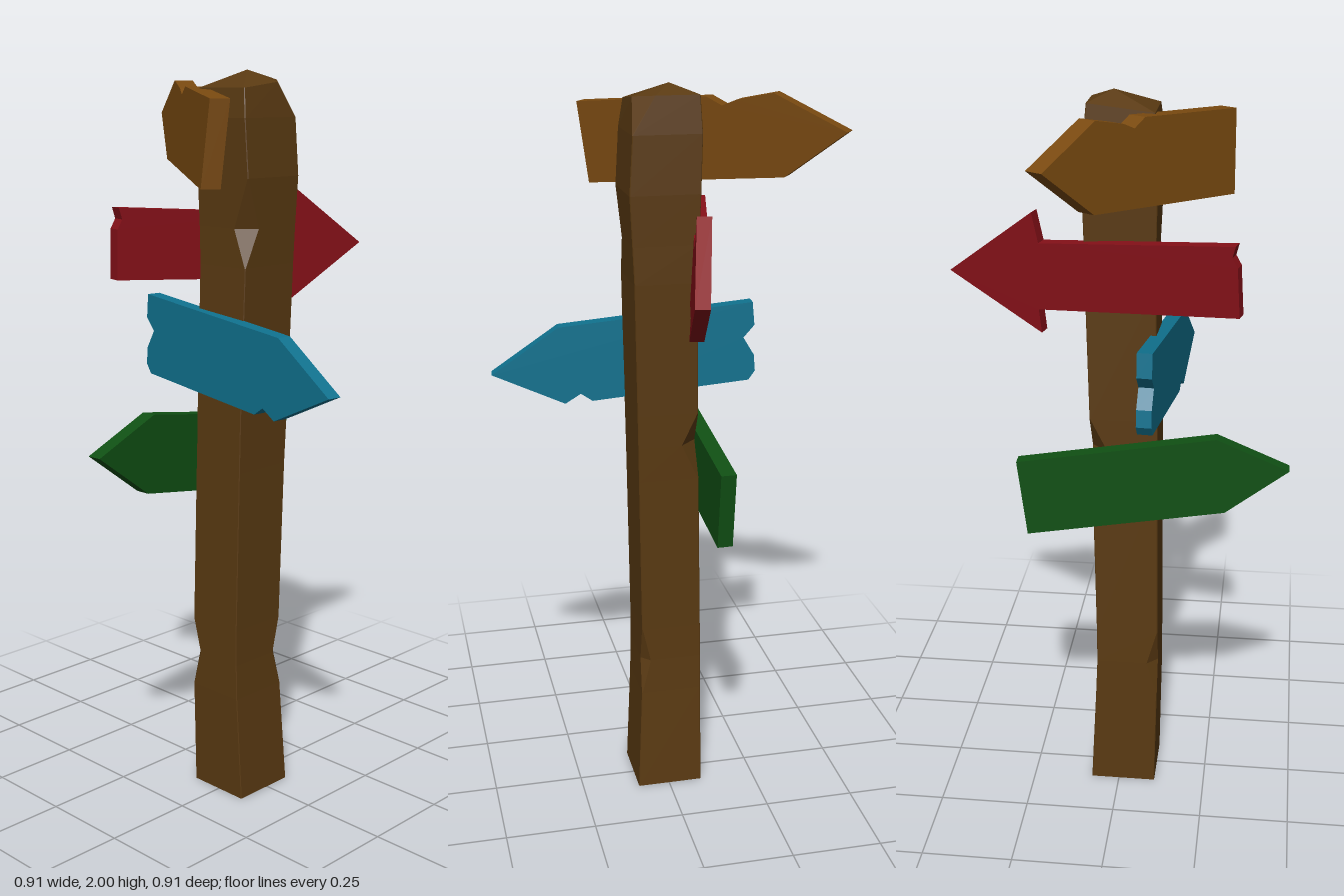
import * as THREE from 'three';

const material = (color) => new THREE.MeshStandardMaterial({ color, flatShading: true });

// Rough-hewn post: square rings whose corners are chamfered, deeply where nicked
function createPost() {
  const C = 0.002; // nearly sharp corner
  // y, x0, x1, z0, z1, chamfers [front left, front right, back right, back left] in screen order
  const rings = [
    [0.00, -0.095, 0.090, -0.080, 0.105, [C, C, C, C]],
    [0.30, -0.095, 0.077, -0.066, 0.110, [C, C, C, C]],
    [0.40, -0.095, 0.075, -0.062, 0.110, [0.03, C, 0.025, C]],
    [0.50, -0.093, 0.075, -0.063, 0.110, [C, C, C, C]],
    [0.95, -0.083, 0.083, -0.073, 0.105, [C, C, C, C]],
    [1.05, -0.080, 0.085, -0.077, 0.104, [C, C, C, 0.045]],
    [1.14, -0.079, 0.087, -0.080, 0.103, [C, C, C, C]],
    [1.50, -0.073, 0.095, -0.090, 0.095, [C, C, C, C]],
    [1.60, -0.075, 0.100, -0.091, 0.095, [C, 0.045, C, C]],
    [1.73, -0.079, 0.107, -0.094, 0.097, [C, C, C, C]],
    [1.88, -0.083, 0.098, -0.091, 0.099, [C, C, C, C]],
    [1.965, -0.078, 0.087, -0.082, 0.090, [C, C, 0.05, C]],
  ];
  const loops = rings.map(([y, x0, x1, z0, z1, c], r) => {
    const slope = r === rings.length - 1 ? -0.12 : 0; // the top rim rises to the back
    return [
      [x0, z1 - c[0]], [x0 + c[0], z1], [x1 - c[1], z1], [x1, z1 - c[1]],
      [x1, z0 + c[2]], [x1 - c[2], z0], [x0 + c[3], z0], [x0, z0 + c[3]],
    ].map(([x, z]) => [x, y + slope * z, z]);
  });
  const pos = [];
  const tri = (a, b, c) => pos.push(...a, ...b, ...c);
  const last = loops[loops.length - 1];
  for (let i = 0; i < 8; i++) {
    const j = (i + 1) % 8;
    for (let r = 0; r < loops.length - 1; r++) {
      const lo = loops[r], hi = loops[r + 1];
      tri(lo[i], lo[j], hi[j]);
      tri(lo[i], hi[j], hi[i]);
    }
    tri(last[i], last[j], [-0.01, 2, -0.02]);
    tri(loops[0][j], loops[0][i], [0, 0, 0.01]);
  }
  const geo = new THREE.BufferGeometry();
  geo.setAttribute('position', new THREE.Float32BufferAttribute(pos, 3));
  geo.computeVertexNormals();
  const mesh = new THREE.Mesh(geo, material(0x5a3a12));
  mesh.name = 'post';
  return mesh;
}

// Plank sign: outline [distance along x or z, y], running through `origin` along `dir` (both x, z).
// `lean` shears the plank so that its top tips over.
function createSign(name, color, origin, dir, thickness, lean, outline) {
  const [dx, dz] = dir;
  const stretch = Math.hypot(dx, dz) / Math.max(Math.abs(dx), Math.abs(dz));
  const shape = new THREE.Shape(outline.map(([p, y]) => new THREE.Vector2(p * stretch, y)));
  const geo = new THREE.ExtrudeGeometry(shape, { depth: thickness, bevelEnabled: false });
  geo.translate(0, 0, -thickness / 2);
  const ys = outline.map((p) => p[1]);
  const midY = (Math.min(...ys) + Math.max(...ys)) / 2;
  const pos = geo.attributes.position;
  for (let i = 0; i < pos.count; i++) {
    pos.setZ(i, pos.getZ(i) + lean * (pos.getY(i) - midY));
  }
  geo.rotateY(Math.atan2(-dz, dx));
  geo.translate(origin[0], 0, origin[1]);
  geo.computeVertexNormals();
  const mesh = new THREE.Mesh(geo, material(color));
  mesh.name = name;
  return mesh;
}

export function createModel() {
  const group = new THREE.Group();
  group.name = 'signpost';
  group.add(createPost());

  // Top sign, pointing right and back
  group.add(createSign('brownSign', 0x7a4a10, [0, 0.154], [0.61, 0.41], 0.05, -0.09, [
    [-0.45, 1.883], [-0.313, 1.76], [0.145, 1.713], [0.165, 1.93],
    [-0.14, 1.957], [-0.175, 1.936], [-0.207, 1.952], [-0.29, 1.973],
  ]));

  // Arrow with a broad head, pointing back
  group.add(createSign('redSign', 0x851018, [-0.096, 0], [-0.17, 0.765], 0.038, 0.05, [
    [-0.452, 1.523], [-0.22, 1.698], [-0.204, 1.618], [0.305, 1.655],
    [0.297, 1.625], [0.311, 1.6], [0.318, 1.47], [-0.21, 1.438], [-0.204, 1.374],
  ]));

  // Chipped sign, pointing left
  group.add(createSign('blueSign', 0x10728f, [0, 0.108], [0.72, 0.06], 0.04, 0, [
    [0.448, 1.22], [0.265, 1.347], [-0.268, 1.4], [-0.274, 1.335], [-0.244, 1.3],
    [-0.274, 1.25], [-0.278, 1.204], [-0.26, 1.178], [0.175, 1.135],
    [0.207, 1.157], [0.25, 1.13],
  ]));

  // Lowest sign, pointing forward
  group.add(createSign('greenSign', 0x105014, [-0.107, 0], [0.02, 0.73], 0.042, 0, [
    [0.458, 1.03], [0.263, 1.114], [-0.273, 1.03], [-0.247, 0.817], [0.289, 0.902],
  ]));

  return group;
}
